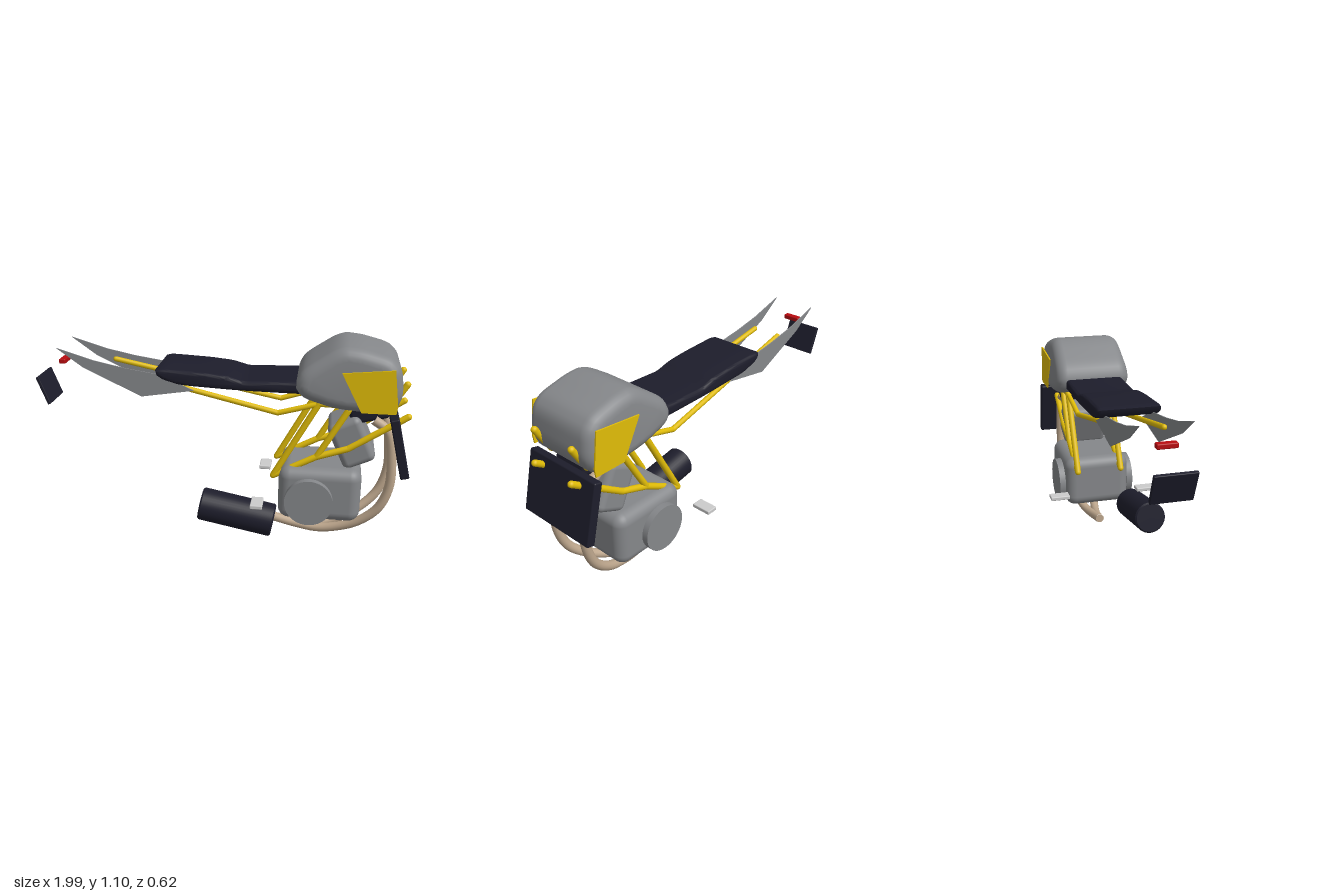
import * as THREE from 'three';
import { toCreasedNormals } from 'three/addons/utils/BufferGeometryUtils.js';
import { RoundedBoxGeometry } from 'three/addons/geometries/RoundedBoxGeometry.js';

const paint = (name, color, side = THREE.FrontSide) => {
  const m = new THREE.MeshStandardMaterial({ color, side });
  m.name = name;
  return m;
};

export function createModel() {
  const model = new THREE.Group();
  model.name = 'motorcycleBody';
  const grey = paint('metalGrey', 0x85878a);
  const yellow = paint('frameYellow', 0xe0bc08);
  const dark = paint('darkNavy', 0x1d1d2b);
  const tan = paint('exhaustTan', 0xbfa88e);
  const light = paint('lightMetal', 0xcccccc);
  const red = paint('lampRed', 0xb80c10);

  const add = (name, geometry, material, x = 0, y = 0, z = 0, tilt = 0) => {
    const mesh = new THREE.Mesh(geometry, material);
    mesh.name = name;
    mesh.position.set(x, y, z);
    mesh.rotation.z = tilt;
    model.add(mesh);
    return mesh;
  };
  const box = (w, h, d, r) => new RoundedBoxGeometry(w, h, d, 4, r);

  // Polygon with softened corners
  const softShape = (pts, soft) => {
    const s = new THREE.Shape();
    const v = pts.map(p => new THREE.Vector2(...p));
    v.forEach((p, i) => {
      const a = v[(i + v.length - 1) % v.length], b = v[(i + 1) % v.length];
      const start = p.clone().lerp(a, soft), end = p.clone().lerp(b, soft);
      if (i === 0) s.moveTo(start.x, start.y); else s.lineTo(start.x, start.y);
      s.quadraticCurveTo(p.x, p.y, end.x, end.y);
    });
    s.closePath();
    return s;
  };

  // Side profile extruded across z, with a rounded rim
  const pillow = (pts, halfWidth, bevel, soft) => {
    const depth = 2 * (halfWidth - bevel);
    const g = new THREE.ExtrudeGeometry(softShape(pts, soft), {
      depth, bevelSize: bevel, bevelThickness: bevel, bevelSegments: 6, curveSegments: 5 });
    g.translate(0, 0, -depth / 2);
    return g;
  };

  // Thin flat plate in the xy plane, centred on its own z
  const plate = (pts, thick) => {
    const g = new THREE.ExtrudeGeometry(new THREE.Shape(pts.map(p => new THREE.Vector2(...p))),
      { depth: thick, bevelEnabled: false });
    return g.translate(0, 0, -thick / 2);
  };

  // Chain of round-ended straight bars
  const bars = (name, pts, r) => {
    const group = new THREE.Group();
    group.name = name;
    const v = pts.map(p => new THREE.Vector3(...p));
    for (let i = 1; i < v.length; i++) {
      const dir = v[i].clone().sub(v[i - 1]);
      const bar = new THREE.Mesh(new THREE.CapsuleGeometry(r, dir.length(), 5, 14), yellow);
      bar.name = name + 'Bar';
      bar.position.copy(v[i]).add(v[i - 1]).multiplyScalar(0.5);
      bar.quaternion.setFromUnitVectors(new THREE.Vector3(0, 1, 0), dir.normalize());
      group.add(bar);
    }
    model.add(group);
  };

  // Fuel tank, slightly narrower towards the top
  const tank = pillow([[0.455, 0.895], [0.61, 0.848], [0.85, 0.83], [0.87, 0.88], [0.86, 0.98],
    [0.83, 1.01], [0.71, 1.042], [0.63, 1.05], [0.475, 0.945]], 0.215, 0.06, 0.3);
  const tp = tank.attributes.position;
  for (let i = 0; i < tp.count; i++)
    tp.setZ(i, tp.getZ(i) * (1 - 0.35 * Math.max(0, tp.getY(i) - 0.92)));
  add('fuelTank', toCreasedNormals(tank, 0.8), grey);

  // Seat
  add('seat', toCreasedNormals(pillow([[-0.31, 0.935], [-0.28, 0.915], [-0.19, 0.89], [0.12, 0.876],
    [0.46, 0.872], [0.46, 0.898], [0.3, 0.892], [0.13, 0.886], [0.04, 0.912], [-0.08, 0.924]],
  0.165, 0.02, 0.25), 0.8), dark);

  for (const s of [1, -1]) {
    const side = s > 0 ? 'left' : 'right';
    // Tank side plate and tail fin
    add(side + 'TankPanel', plate([[0.625, 0.99], [0.73, 0.79], [0.9, 0.79], [0.905, 0.83], [0.88, 1.015]], 0.008),
      yellow, 0, 0, s * 0.215);
    add(side + 'TailPanel', plate([[-0.86, 1.035], [-0.72, 0.935], [-0.41, 0.79], [-0.13, 0.835],
      [-0.3, 0.912], [-0.5, 0.942], [-0.66, 0.975]], 0.006), grey, 0, 0, s * 0.123);

    // Frame tubes
    bars(side + 'SeatRail', [[-0.6, 0.93, s * 0.08], [0.31, 0.735, s * 0.12], [0.53, 0.8, s * 0.13]], 0.014);
    bars(side + 'RearFrame', [[0.52, 0.8, s * 0.13], [0.295, 0.385, s * 0.13], [0.52, 0.505, s * 0.13],
      [0.67, 0.77, s * 0.13]], 0.017);
    bars(side + 'LowerFrame', [[0.52, 0.505, s * 0.13], [0.68, 0.56, s * 0.13], [0.97, 0.75, s * 0.128]], 0.017);
    bars(side + 'UpperFrame', [[0.52, 0.8, s * 0.13], [0.87, 0.79, s * 0.125], [0.95, 0.92, s * 0.128]], 0.017);

    // Crankcase cover
    const cover = add(side + 'EngineCover', new THREE.CylinderGeometry(0.127, 0.127, 0.035, 40),
      grey, 0.49, 0.275, s * 0.207);
    cover.rotation.x = Math.PI / 2;

    // Exhaust header sweeping under the engine
    const path = new THREE.CatmullRomCurve3([[0.8, 0.72, 0.108], [0.875, 0.66, 0.108], [0.908, 0.48, 0.108],
      [0.905, 0.34, 0.107], [0.858, 0.215, 0.1], [0.755, 0.115, 0.078], [0.65, 0.062, 0.05],
      [0.54, 0.036, 0.028], [0.42, 0.045, 0.01], [0.295, 0.07, 0]].map(p => new THREE.Vector3(p[0], p[1], s * p[2])));
    add(side + 'ExhaustPipe', new THREE.TubeGeometry(path, 60, 0.025, 16), tan);

    // Foot peg
    add(side + 'FootPeg', box(0.064, 0.022, 0.11, 0.005), light, 0.223, 0.275, s * 0.257);
  }

  // Exhaust end cap
  const cap = add('exhaustEnd', new THREE.CircleGeometry(0.025, 16), tan, 0.295, 0.07, 0);
  cap.rotation.set(0, -Math.PI / 2, 0);

  // Engine, cylinder block and airbox
  add('crankcase', box(0.435, 0.3, 0.38, 0.06), grey, 0.543, 0.3, 0);
  add('cylinderBlock', box(0.18, 0.26, 0.26, 0.035), grey, 0.697, 0.583, 0, 0.43);
  add('airbox', box(0.2, 0.1, 0.2, 0.02), dark, 0.775, 0.75, 0, 0.25);

  // Radiator
  add('radiator', box(0.046, 0.325, 0.456, 0.008), dark, 0.933, 0.606, 0, 0.235);

  // Muffler with softened rims
  const r = 0.088, h = 0.2;
  const can = new THREE.LatheGeometry([[0, -h], [r - 0.008, -h], [r, -h + 0.008], [r, h - 0.008],
    [r - 0.008, h], [0, h]].map(p => new THREE.Vector2(...p)), 36);
  add('muffler', toCreasedNormals(can.toNonIndexed(), 0.5), dark, 0.11, 0.185, 0.195, Math.PI / 2 - 0.187);

  // Tail lamp and number plate holder
  add('tailLamp', box(0.036, 0.026, 0.1, 0.006), red, -0.862, 0.94, 0);
  add('plateHolder', box(0.018, 0.16, 0.2, 0.004), dark, -0.963, 0.785, 0, 0.37);

  return model;
}
